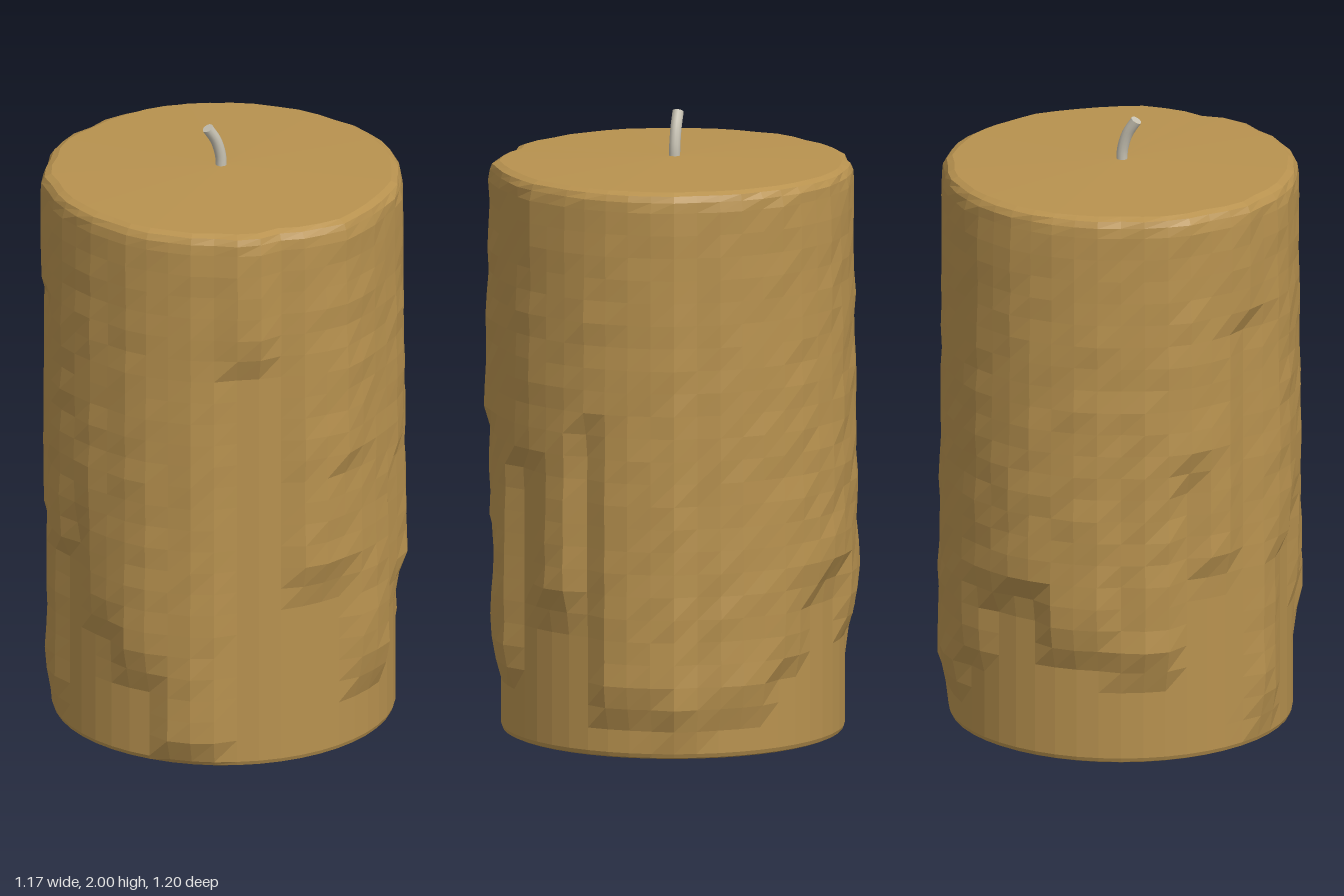
import * as THREE from 'three';

const SEG = 48;      // columns round the candle
const R = 0.55;      // bare wax radius
const CX = -0.01, CZ = -0.01;

// Wax drips: [angle in degrees from the front, height of lower end, half width in columns, thickness]
const DRIPS = [
  [-7.5, 0.66, 1.6, 0.045], [0, 1.04, 1.6, 0.055], [15, 0.27, 1.7, 0.045],
  [33, 0.98, 1.8, 0.04], [48, 0.52, 1.7, 0.04], [62, 1.1, 1.3, 0.035],
  [75, 0.2, 1.8, 0.042], [91, 0.15, 1.3, 0.046], [112, 0.2, 1.8, 0.038],
  [127, 0.34, 1.6, 0.042], [140, 0.55, 1.6, 0.045], [154, 0.6, 1.8, 0.05],
  [173, 0.42, 1.8, 0.05], [186, 0.92, 1.4, 0.035], [196, 0.36, 1.7, 0.052],
  [209, 1.02, 1.7, 0.05], [221, 0.68, 1.3, 0.03], [232, 1.5, 1.6, 0.045],
  [242, 0.14, 1.3, 0.035], [251, 0.7, 1.6, 0.045], [267, 0.8, 1.6, 0.035],
  [276, 0.48, 1.5, 0.03], [290, 0.35, 1.8, 0.04], [307, 0.1, 1.6, 0.042],
  [325, 1.45, 1.8, 0.04],
];

function seeded(seed) {
  return () => {
    seed = (seed * 16807) % 2147483647;
    return seed / 2147483647;
  };
}

// Thickness of the dripped wax on one column at one height
function dripOffset(col, y) {
  let best = 0;
  for (const [deg, end, width, thick] of DRIPS) {
    let d = Math.abs(col - (deg / 360) * SEG);
    d = Math.min(d % SEG, SEG - (d % SEG));
    const across = THREE.MathUtils.clamp((width - d) * 1.3, 0, 1);
    const ending = THREE.MathUtils.clamp((y - end + 0.09) / 0.09, 0, 1);
    // drips swell towards their lower end
    const swell = THREE.MathUtils.lerp(1, 0.65, THREE.MathUtils.clamp((y - end) / 1.2, 0, 1));
    best = Math.max(best, thick * across * ending * swell);
  }
  return best;
}

function makeWax() {
  const rand = seeded(77);
  // Rings: [height, inset of the rounded rims]
  const rings = [[0, 0.016], [0.005, 0.005], [0.018, 0]];
  for (let i = 1; i <= 24; i++) rings.push([0.018 + i * 0.0735, 0]);
  rings.push([1.815, 0.004], [1.835, 0.014], [1.845, 0.035]);

  const pos = [], index = [];
  for (const [y, inset] of rings) {
    for (let i = 0; i < SEG; i++) {
      const a = (i / SEG) * Math.PI * 2;
      const drip = dripOffset(i, y);
      const r = R - inset + drip * (1 - (rand() * 0.22));
      pos.push(CX + Math.sin(a) * r, y, CZ + Math.cos(a) * r);
    }
  }
  for (let j = 0; j < rings.length - 1; j++) {
    for (let i = 0; i < SEG; i++) {
      const n = (i + 1) % SEG;
      const a = j * SEG + i, b = j * SEG + n, c = a + SEG, d = b + SEG;
      index.push(a, b, d, a, d, c);
    }
  }
  // Closed base and slightly domed top
  const base = pos.length / 3;
  pos.push(CX, 0, CZ, CX, 1.86, CZ);
  const last = (rings.length - 1) * SEG;
  for (let i = 0; i < SEG; i++) {
    const n = (i + 1) % SEG;
    index.push(base, n, i, base + 1, last + i, last + n);
  }
  const geo = new THREE.BufferGeometry();
  geo.setAttribute('position', new THREE.Float32BufferAttribute(pos, 3));
  geo.setIndex(index);
  geo.computeVertexNormals();
  return geo;
}

export function createModel() {
  const group = new THREE.Group();
  group.name = 'candle';

  const waxMaterial = new THREE.MeshStandardMaterial({ color: 0xb8924f, flatShading: true });
  waxMaterial.name = 'wax';
  const wickMaterial = new THREE.MeshStandardMaterial({ color: 0xc6c1b2 });
  wickMaterial.name = 'wick string';

  const wax = new THREE.Mesh(makeWax(), waxMaterial);
  wax.name = 'waxBody';
  group.add(wax);

  // Wick curving to one side, with a flat cut tip
  const path = new THREE.CatmullRomCurve3([
    new THREE.Vector3(-0.015, 1.84, -0.015),
    new THREE.Vector3(-0.017, 1.89, -0.016),
    new THREE.Vector3(-0.033, 1.945, -0.02),
    new THREE.Vector3(-0.063, 1.994, -0.027),
  ]);
  const wick = new THREE.Mesh(new THREE.TubeGeometry(path, 12, 0.018, 12), wickMaterial);
  wick.name = 'wick';
  group.add(wick);

  const tip = new THREE.Mesh(new THREE.CircleGeometry(0.018, 12), wickMaterial);
  tip.name = 'wickTip';
  tip.position.copy(path.getPoint(1));
  tip.quaternion.setFromUnitVectors(new THREE.Vector3(0, 0, 1), path.getTangent(1));
  group.add(tip);

  return group;
}
